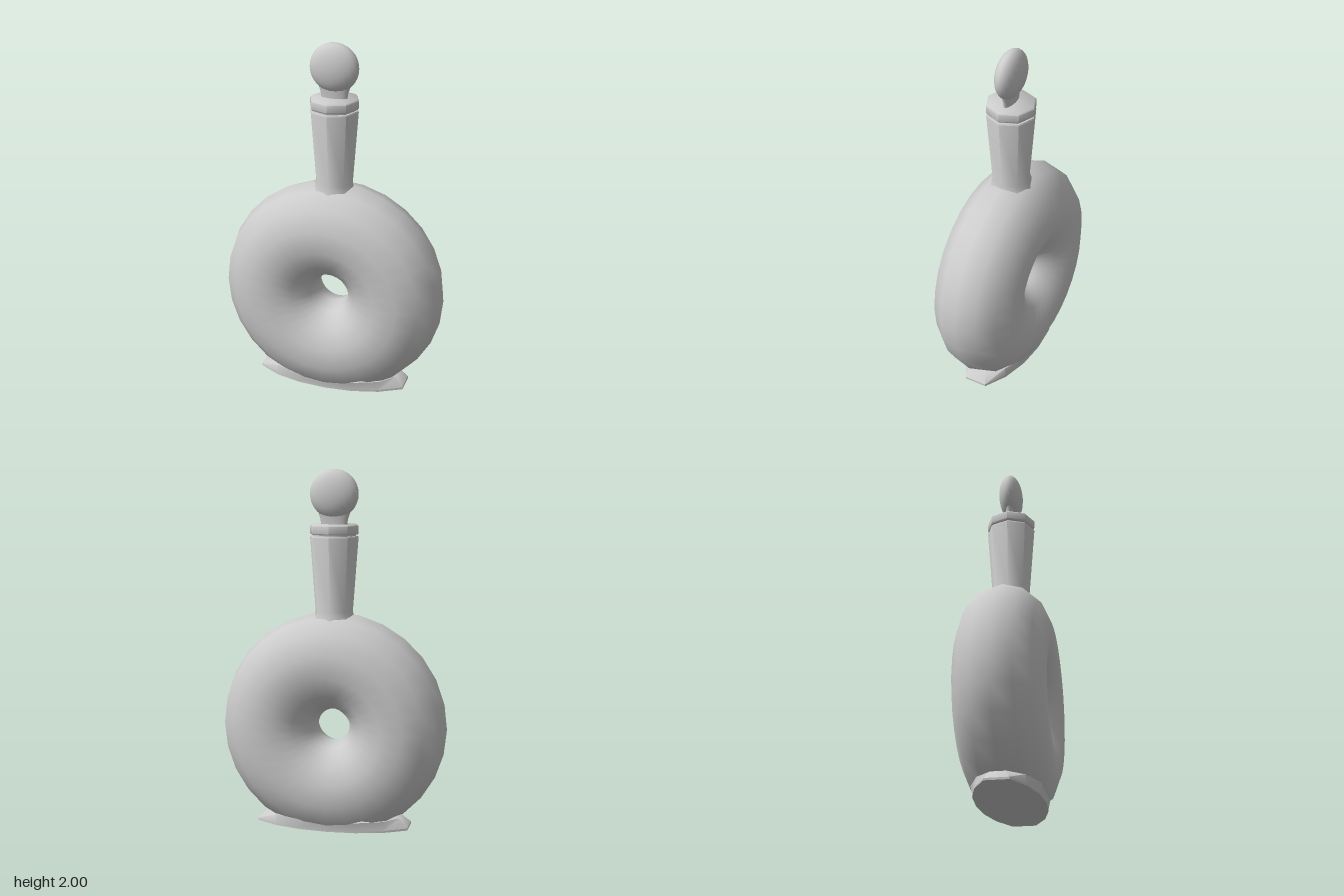
import * as THREE from 'three';
import { toCreasedNormals } from 'three/addons/utils/BufferGeometryUtils.js';

const material = new THREE.MeshStandardMaterial({ color: 0xcccccc });

function part(name, geometry) {
  const mesh = new THREE.Mesh(geometry, material);
  mesh.name = name;
  return mesh;
}

// Turned part from [radius, y] pairs, listed from bottom to top
function turned(profile, sides, crease) {
  const points = profile.map(([r, y]) => new THREE.Vector2(r, y));
  return toCreasedNormals(new THREE.LatheGeometry(points, sides), crease);
}

// Ring-shaped body, slightly flattened, levelled off inside the foot
function bodyGeometry() {
  const geo = new THREE.TorusGeometry(0.365, 0.275, 14, 28);
  geo.scale(1, 1, 0.245 / 0.275);
  geo.translate(0, 0.575, 0);
  const pos = geo.attributes.position;
  for (let i = 0; i < pos.count; i++) pos.setY(i, Math.max(pos.getY(i), 0.03));
  return geo;
}

// Mirrors a quarter outline of [x, z] points into a closed loop
function mirrorOutline(quarter) {
  const half = [...quarter, ...quarter.slice(0, -1).reverse().map(([x, z]) => [-x, z])];
  return [...half, ...half.map(([x, z]) => [-x, -z])];
}

// Long foot with blunt ends, flaring outwards to the ground
function footGeometry() {
  const ground = mirrorOutline([[0.435, 0.065], [0.31, 0.135], [0.16, 0.175], [0, 0.187]]);
  const top = mirrorOutline([[0.385, 0.04], [0.31, 0.125], [0.16, 0.185], [0, 0.195]]);
  const inner = top.map(([x, z]) => [x * 0.85, z * 0.85]);
  const rings = [[ground, 0], [ground, 0.012], [top, 0.06], [inner, 0.065]];
  const n = ground.length;
  const vertices = [];
  const index = [];
  for (const [outline, y] of rings) for (const [x, z] of outline) vertices.push(x, y, z);
  vertices.push(0, 0, 0);
  for (let i = 0; i < n; i++) {
    const j = (i + 1) % n;
    for (let r = 0; r < rings.length - 1; r++) {
      const a = r * n + i, b = r * n + j;
      index.push(a, a + n, b, b, a + n, b + n);
    }
    index.push(rings.length * n, i, j);
  }
  const geo = new THREE.BufferGeometry();
  geo.setAttribute('position', new THREE.Float32BufferAttribute(vertices, 3));
  geo.setIndex(index);
  return toCreasedNormals(geo, 0.75);
}

export function createModel() {
  const group = new THREE.Group();
  group.name = 'ringDecanter';

  group.add(part('body', bodyGeometry()));
  group.add(part('foot', footGeometry()));

  // Eight-sided neck, widening upwards
  group.add(part('neck', turned(
    [[0.125, 1.15], [0.117, 1.185], [0.106, 1.22], [0.137, 1.63], [0.133, 1.637], [0, 1.637]], 8, 0.9)));

  // Stopper: eight-sided collar, flat stem and flattened knob
  const stopper = new THREE.Group();
  stopper.name = 'stopper';
  stopper.add(part('plug', turned([[0.122, 1.63], [0.122, 1.65]], 8, 0.9)));
  stopper.add(part('collar', turned(
    [[0, 1.645], [0.132, 1.645], [0.137, 1.652], [0.137, 1.692], [0.13, 1.7], [0, 1.7]], 8, 0.9)));

  const stem = turned([[0.072, 1.69], [0.078, 1.73], [0.09, 1.765], [0.112, 1.81]], 16, 0.9);
  stem.scale(1, 1, 0.34);
  stopper.add(part('stem', stem));

  const knob = new THREE.SphereGeometry(1, 24, 16);
  knob.scale(0.137, 0.135, 0.067);
  knob.translate(0, 1.865, 0);
  stopper.add(part('knob', knob));
  group.add(stopper);

  return group;
}
